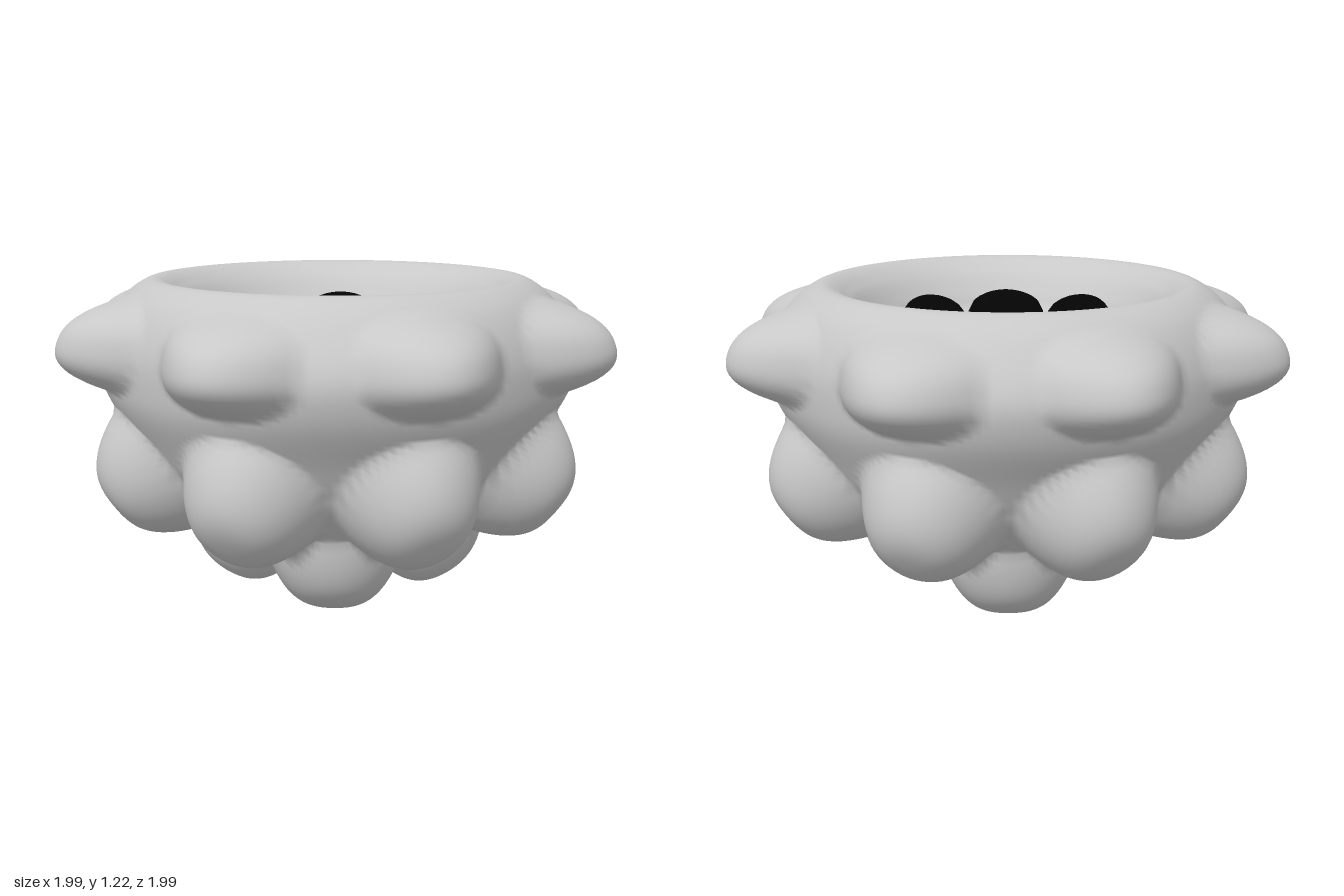
import * as THREE from 'three';
import { mergeVertices } from 'three/addons/utils/BufferGeometryUtils.js';

const grey = new THREE.MeshStandardMaterial({ name: 'pale grey', color: 0xc8c8c8 });
const black = new THREE.MeshStandardMaterial({ name: 'black', color: 0x040404, side: THREE.DoubleSide });

// Bowl profile: underside, outer wall, rolled rim, inner dish
const profile = new THREE.SplineCurve([
  [0, 0.08], [0.18, 0.095], [0.36, 0.16], [0.56, 0.3], [0.72, 0.49], [0.81, 0.65], [0.865, 0.77], [0.88, 0.87],
  [0.875, 0.97], [0.84, 1.07], [0.785, 1.15], [0.71, 1.198], [0.65, 1.19], [0.58, 1.14], [0.52, 1.06],
  [0.48, 1.0], [0.38, 0.96], [0.2, 0.915], [0, 0.895],
].map(([r, y]) => new THREE.Vector2(r, y)));

// Rows of knobs: base point, lean of the outward axis, half sizes, height, bluntness
const rows = [
  { count: 8, start: 22.5, r: 0.895, y: 0.985, lean: 0.04, wide: 0.265, tall: 0.17, height: 0.172, tallPower: 2.8, blunt: 1 },
  { count: 8, start: 22.5, r: 0.715, y: 0.495, lean: -0.58, wide: 0.262, tall: 0.28, height: 0.205, tallPower: 2, blunt: 1.6 },
  { count: 4, start: 45, r: 0.375, y: 0.17, lean: -1.22, wide: 0.25, tall: 0.25, height: 0.158, tallPower: 2, blunt: 1.7 },
];

function makeKnobs() {
  const knobs = [];
  for (const row of rows) {
    for (let i = 0; i < row.count; i++) {
      const a = THREE.MathUtils.degToRad(row.start) + (i * Math.PI * 2) / row.count;
      const s = Math.sin(a), c = Math.cos(a), cl = Math.cos(row.lean), sl = Math.sin(row.lean);
      knobs.push({
        ...row,
        base: new THREE.Vector3(row.r * s, row.y, row.r * c),
        out: new THREE.Vector3(cl * s, sl, cl * c),
        side: new THREE.Vector3(c, 0, -s),
        up: new THREE.Vector3(-sl * s, cl, -sl * c),
      });
    }
  }
  return knobs;
}

// Lathed bowl whose wall is pushed out into rounded knobs
function makeBody() {
  const points = profile.getSpacedPoints(150);
  points[0].x = points[150].x = 0;
  let geo = new THREE.LatheGeometry(points, 192);
  geo.deleteAttribute('uv');
  geo.deleteAttribute('normal');
  geo = mergeVertices(geo, 1e-5);
  const pos = geo.attributes.position;
  const knobs = makeKnobs();
  const p = new THREE.Vector3(), d = new THREE.Vector3();
  for (let i = 0; i < pos.count; i++) {
    p.fromBufferAttribute(pos, i);
    if (Math.hypot(p.x, p.z) < 0.6 && p.y > 0.85) continue;
    // The wall is slightly fuller on the four diagonals
    const diagonal = Math.sin(2 * Math.atan2(p.x, p.z)) ** 2;
    const fuller = 1 + 0.05 * diagonal * Math.exp(-(((p.y - 0.93) / 0.17) ** 2));
    p.x *= fuller;
    p.z *= fuller;
    const push = new THREE.Vector3();
    for (const k of knobs) {
      d.subVectors(p, k.base);
      if (d.length() > 0.4) continue;
      const q = (d.dot(k.side) / k.wide) ** 2 + Math.abs(d.dot(k.up) / k.tall) ** k.tallPower;
      if (q < 1) push.addScaledVector(k.out, k.height * (1 - q ** k.blunt));
    }
    p.add(push);
    pos.setXYZ(i, p.x, p.y, p.z);
  }
  geo.computeVertexNormals();
  return geo;
}

// Domed wedge, narrow at the middle of the dish and rounded at its outer end
function makeSegment() {
  const n = 24, m = 14, verts = [], index = [];
  for (let i = 0; i <= n; i++) {
    const s = Math.sin((i / n) * Math.PI / 2);
    const r = 0.06 + 0.437 * s;
    const round = s > 0.78 ? Math.sqrt(Math.max(0, 1 - ((s - 0.78) / 0.22) ** 4)) : 1;
    const half = Math.max(0, Math.PI / 8 - 0.01 / r) * round;
    for (let j = 0; j <= m; j++) {
      const t = (j / m) * 2 - 1, a = t * half;
      const dome = 0.085 * Math.sqrt(Math.max(0, 1 - t * t)) * Math.min(1, s * 2) * (0.4 + 0.6 * round);
      verts.push(r * Math.sin(a), 0.905 + 0.47 * r * r + dome, r * Math.cos(a));
      if (i < n && j < m) {
        const k = i * (m + 1) + j;
        index.push(k, k + m + 1, k + 1, k + 1, k + m + 1, k + m + 2);
      }
    }
  }
  const geo = new THREE.BufferGeometry();
  geo.setAttribute('position', new THREE.Float32BufferAttribute(verts, 3));
  geo.setIndex(index);
  geo.computeVertexNormals();
  return geo;
}

export function createModel() {
  const group = new THREE.Group();
  group.name = 'knobblyBowl';
  const body = new THREE.Mesh(makeBody(), grey);
  body.name = 'body';
  group.add(body);

  // Eight dark segments around the dish
  const segment = makeSegment();
  for (let i = 0; i < 8; i++) {
    const mesh = new THREE.Mesh(segment, black);
    mesh.name = 'segment';
    mesh.rotation.y = (i * Math.PI) / 4;
    group.add(mesh);
  }
  return group;
}
